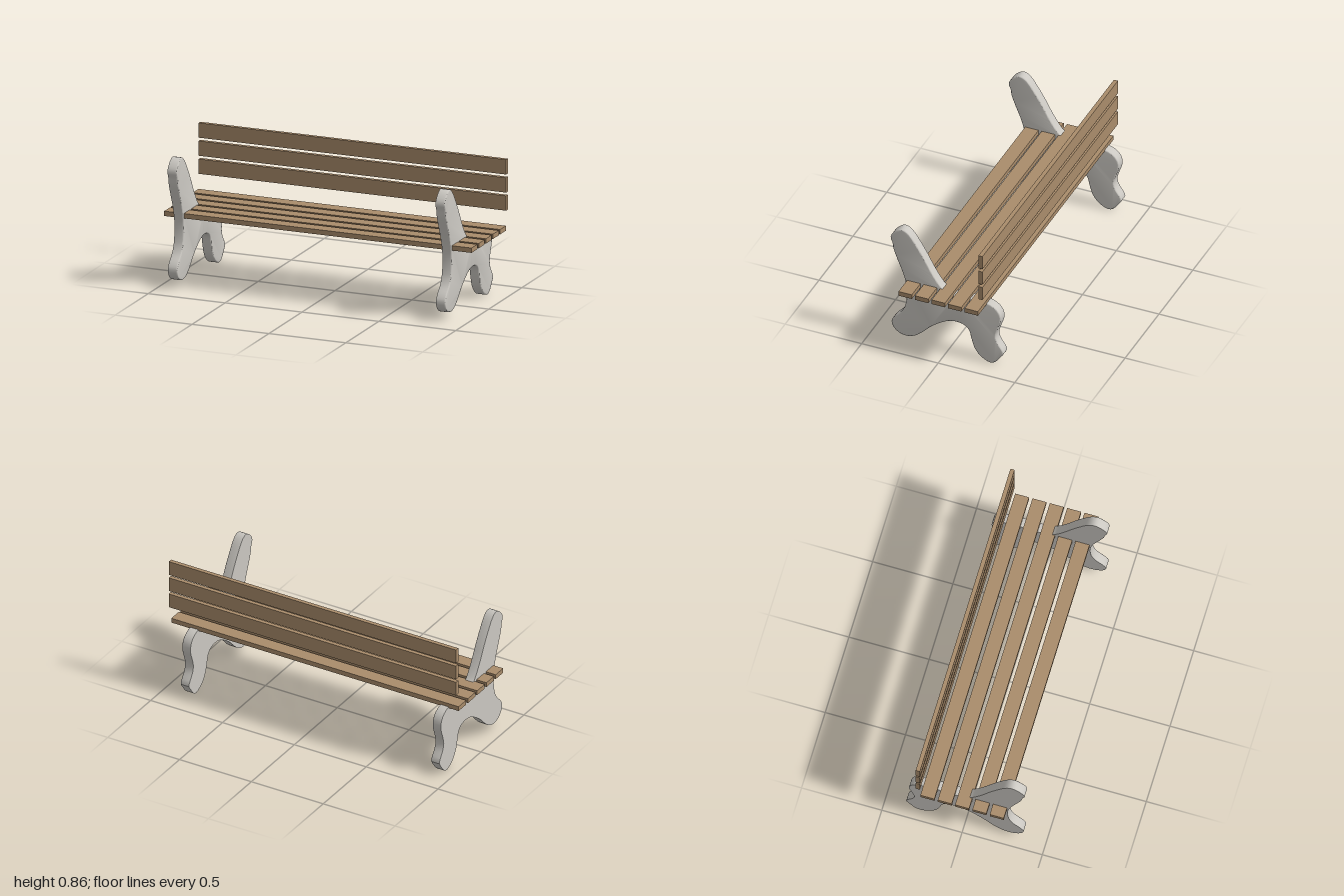
import * as THREE from 'three';
import { mergeVertices, toCreasedNormals } from 'three/addons/utils/BufferGeometryUtils.js';

const wood = new THREE.MeshStandardMaterial({ name: 'wood', color: 0xa98c6b });
const concrete = new THREE.MeshStandardMaterial({ name: 'concrete', color: 0xcbc8c2 });

// Outline of the cast end support as [z, y], starting at the top of the arm
const OUTLINE = [
  [.294, .807], [.32, .797], [.356, .763], [.37, .73], [.356, .693], [.351, .655],
  [.326, .586], [.292, .502], [.27, .427], [.263, .352], [.274, .261], [.299, .209],
  [.344, .161], [.363, .125], [.351, .084], [.315, .052], [.265, .041], [.215, .055],
  [.169, .089], [.106, .152], [.038, .202], [-.019, .23], [-.065, .236], [-.11, .227],
  [-.142, .2], [-.158, .145], [-.178, .082], [-.212, .036], [-.258, .007], [-.287, .001],
  [-.315, .014], [-.344, .05], [-.369, .091], [-.356, .118], [-.326, .164], [-.317, .205],
  [-.331, .259], [-.349, .314], [-.347, .359], [-.326, .395], [-.292, .418], [-.247, .43],
  [-.144, .432], [-.053, .427], [-.008, .434], [.026, .448], [.06, .486], [.106, .557],
  [.151, .639], [.197, .714], [.242, .777], [.269, .8],
];

// Smooth slab, 0.06 thick, with a rounded edge on its +x face and a flat -x face
function supportGeometry() {
  const curve = new THREE.CatmullRomCurve3(
    OUTLINE.map(([z, y]) => new THREE.Vector3(-z, y, 0)), true);
  const points = curve.getSpacedPoints(160).slice(0, -1);
  const shape = new THREE.Shape(points.map((p) => new THREE.Vector2(p.x, p.y)));
  const bevel = 0.007;
  let geometry = new THREE.ExtrudeGeometry(shape, {
    depth: 0.06 - bevel, bevelThickness: bevel, bevelSize: bevel,
    bevelOffset: -bevel, bevelSegments: 3,
  });
  // Press the bevel on the back flat so that edge stays square
  const pos = geometry.attributes.position;
  for (let i = 0; i < pos.count; i++) pos.setZ(i, Math.max(0, pos.getZ(i)));
  geometry.deleteAttribute('uv');
  geometry.deleteAttribute('normal');
  geometry = toCreasedNormals(mergeVertices(geometry, 1e-5), 0.6);
  geometry.rotateY(Math.PI / 2);
  return geometry;
}

export function createModel() {
  const bench = new THREE.Group();
  bench.name = 'bench';

  const add = (name, geometry, material, x, y, z) => {
    const mesh = new THREE.Mesh(geometry, material);
    mesh.name = name;
    mesh.position.set(x, y, z);
    bench.add(mesh);
  };

  // End supports, both facing the same way
  const support = supportGeometry();
  add('rightSupport', support, concrete, -0.931, 0, 0);
  add('leftSupport', support, concrete, 0.812, 0, 0);

  // Five seat slats
  const seatSlat = new THREE.BoxGeometry(2, 0.03, 0.087);
  for (let i = 0; i < 5; i++) {
    add(`seatSlat${i + 1}`, seatSlat, wood, 0, 0.435, 0.216 - i * 0.108);
  }

  // Three upright back slats standing clear of the seat
  const backSlat = new THREE.BoxGeometry(2, 0.092, 0.026);
  for (let i = 0; i < 3; i++) {
    add(`backSlat${i + 1}`, backSlat, wood, 0, 0.589 + i * 0.1125, -0.276);
  }

  return bench;
}
